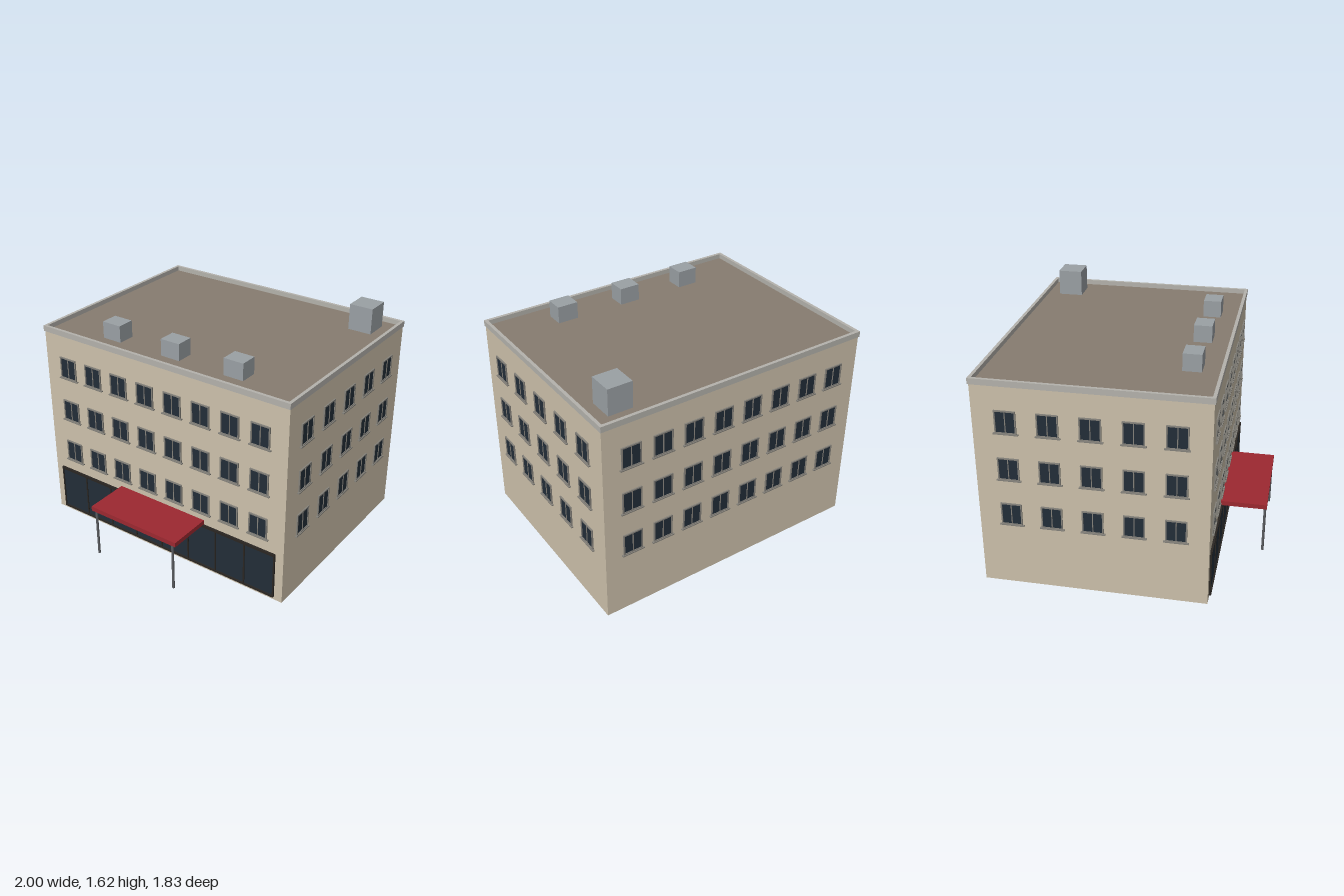
import * as THREE from 'three';

const mat = (color) => new THREE.MeshStandardMaterial({ color });

export function createModel() {
  const model = new THREE.Group();
  const wall = mat(0xcdc1ab), roofMat = mat(0x877c70), trim = mat(0xb4b2ac), frameMat = mat(0x85827b);
  const glass = mat(0x222d38), dark = mat(0x2a2622), red = mat(0x9c2830), metal = mat(0x5a5c60), unitMat = mat(0x9aa0a4);

  // Box given by its min and max corners
  const box = (name, material, x0, x1, y0, y1, z0, z1, parent = model) => {
    const mesh = new THREE.Mesh(new THREE.BoxGeometry(x1 - x0, y1 - y0, z1 - z0), material);
    mesh.position.set((x0 + x1) / 2, (y0 + y1) / 2, (z0 + z1) / 2);
    mesh.name = name;
    parent.add(mesh);
    return mesh;
  };

  // Flat rectangular ring, extruded along +z
  const ring = (w, h, border, depth) => {
    const rect = (P, a, b) => new P([[-a, -b], [a, -b], [a, b], [-a, b]].map(([x, y]) => new THREE.Vector2(x, y)));
    const shape = rect(THREE.Shape, w / 2, h / 2);
    shape.holes.push(rect(THREE.Path, w / 2 - border, h / 2 - border));
    return new THREE.ExtrudeGeometry(shape, { depth, bevelEnabled: false });
  };

  // Main block, roof deck and parapet
  const X = 0.985, front = 0.6, back = -0.9;
  box('walls', wall, -X, X, 0, 1.437, back, front);
  box('roofDeck', roofMat, -0.975, 0.975, 1.43, 1.442, -0.892, 0.592);
  const parapet = new THREE.Mesh(ring(1.98, 1.515, 0.022, 0.04), trim);
  parapet.name = 'parapet';
  parapet.rotation.x = -Math.PI / 2;
  parapet.position.set(0, 1.435, -0.15);
  model.add(parapet);

  // One window: frame, panes, mullion and sill, built against z = 0
  const frameGeo = ring(0.14, 0.158, 0.009, 0.009);
  const makeWindow = () => {
    const g = new THREE.Group();
    g.name = 'window';
    const frame = new THREE.Mesh(frameGeo, frameMat);
    frame.name = 'windowFrame';
    g.add(frame);
    box('windowGlass', glass, -0.063, 0.063, -0.072, 0.072, -0.002, 0.004, g);
    box('windowMullion', frameMat, -0.003, 0.003, -0.072, 0.072, 0, 0.008, g);
    box('windowSill', frameMat, -0.081, 0.081, -0.084, -0.076, 0, 0.015, g);
    return g;
  };
  const addWindow = (x, y, z, turn) => {
    const w = makeWindow();
    w.position.set(x, y, z);
    w.rotation.y = turn;
    model.add(w);
  };

  // Three upper floors of windows on all four sides
  for (let floor = 0; floor < 3; floor++) {
    const y = 0.534 + floor * 0.331;
    for (let i = 0; i < 8; i++) {
      const x = (i - 3.5) * 0.225;
      addWindow(x, y, front, 0);
      addWindow(x, y, back, Math.PI);
    }
    for (let i = 0; i < 5; i++) {
      const z = -0.148 + (i - 2) * 0.268;
      addWindow(X, y, z, Math.PI / 2);
      addWindow(-X, y, z, -Math.PI / 2);
    }
  }

  // Ground floor shop front: eight panes between dark bars
  const shop = new THREE.Group();
  shop.name = 'shopFront';
  model.add(shop);
  box('shopGlass', glass, -0.92, 0.92, 0.03, 0.36, 0.598, 0.606, shop);
  box('shopTopRail', dark, -0.925, 0.925, 0.35, 0.367, 0.6, 0.615, shop);
  box('shopBottomRail', dark, -0.925, 0.925, 0.023, 0.037, 0.6, 0.615, shop);
  for (let i = 0; i <= 8; i++) {
    const x = (i - 4) * 0.23;
    box('shopPost', dark, x - 0.005, x + 0.005, 0.03, 0.36, 0.6, 0.612, shop);
  }

  // Entrance canopy on two slim posts
  box('canopy', red, -0.36, 0.36, 0.367, 0.4, 0.6, 0.915);
  for (const side of [-1, 1]) {
    const post = new THREE.Mesh(new THREE.CylinderGeometry(0.009, 0.009, 0.352, 12), metal);
    post.name = 'canopyPost';
    post.position.set(side * 0.328, 0.192, 0.902);
    model.add(post);
  }

  // Rooftop units and stair housing
  for (const x of [-0.492, 0, 0.492]) box('roofUnit', unitMat, x - 0.073, x + 0.073, 1.438, 1.56, 0.343, 0.467);
  box('stairHousing', unitMat, 0.703, 0.873, 1.438, 1.624, -0.797, -0.627);

  return model;
}
